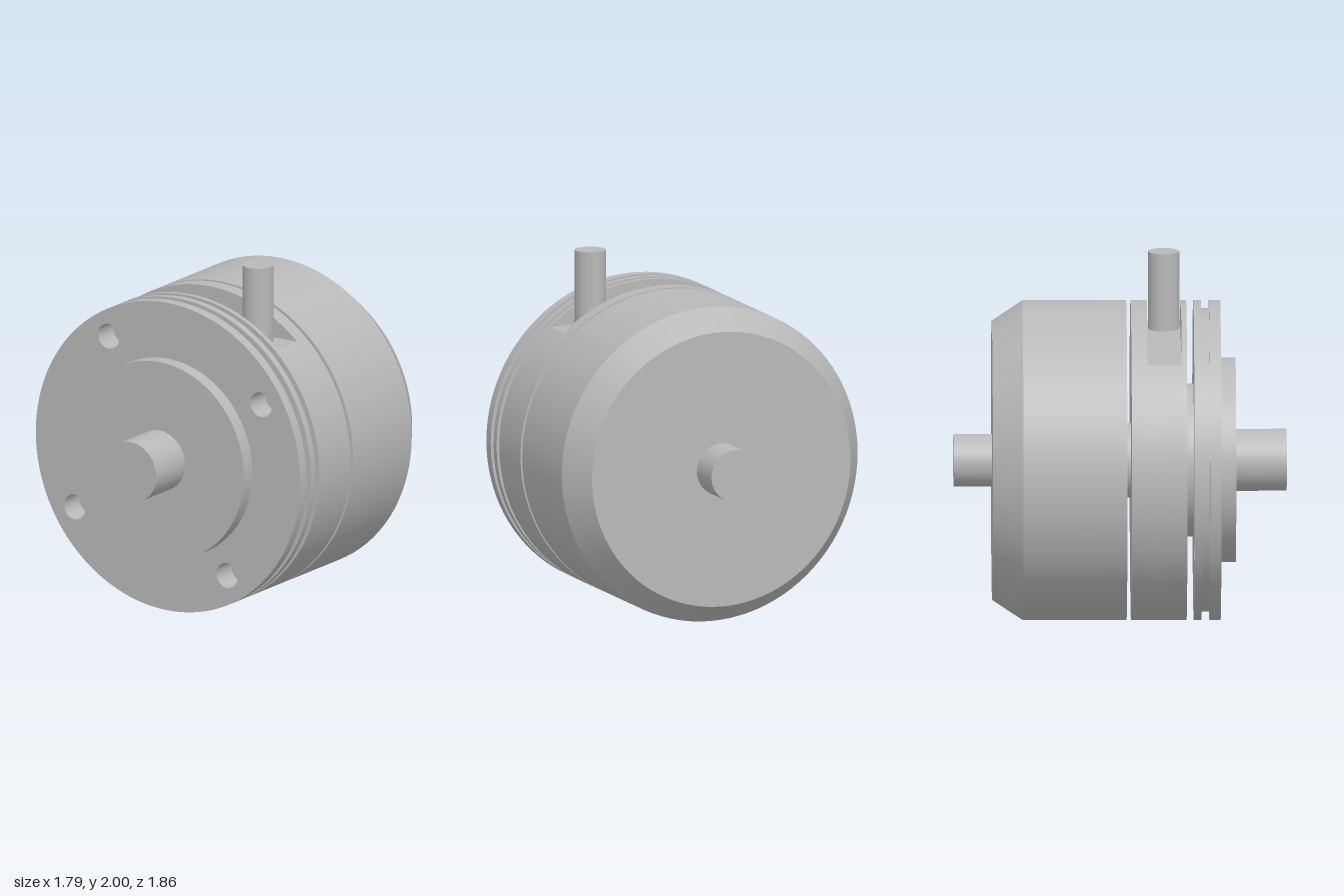
import * as THREE from 'three';
import { toCreasedNormals } from 'three/addons/utils/BufferGeometryUtils.js';

const R = 0.893; // main radius, also the height of the axis
const HOLE_R = 0.072;
const HOLES = [[-0.4, 0.635], [0.63, 0.405], [-0.63, -0.395], [0.4, -0.625]];

export function createModel() {
  const model = new THREE.Group();
  const metal = new THREE.MeshStandardMaterial({ color: 0xb8b8b8 });
  metal.name = 'grey metal';

  // everything round the main axis lives in this group
  const axis = new THREE.Group();
  axis.name = 'axisParts';
  axis.position.y = R;
  model.add(axis);

  function add(name, geometry, parent = axis) {
    const mesh = new THREE.Mesh(geometry, metal);
    mesh.name = name;
    parent.add(mesh);
    return mesh;
  }

  // solid round part between two z positions
  function disc(name, z0, z1, rBack, rFront = rBack) {
    const g = new THREE.CylinderGeometry(rFront, rBack, z1 - z0, 96);
    g.rotateX(Math.PI / 2).translate(0, 0, (z0 + z1) / 2);
    return add(name, g);
  }

  // outline extruded between two z positions
  function slab(name, shape, z0, z1) {
    const g = new THREE.ExtrudeGeometry(shape, { depth: z1 - z0, bevelEnabled: false, curveSegments: 72 });
    g.translate(0, 0, z0);
    return add(name, toCreasedNormals(g, 0.6));
  }

  // round outline with the four bolt holes
  function drilledCircle(radius) {
    const shape = new THREE.Shape().absarc(0, 0, radius, 0, Math.PI * 2, false);
    for (const [x, y] of HOLES) {
      shape.holes.push(new THREE.Path().absarc(x, y, HOLE_R, 0, Math.PI * 2, true));
    }
    return shape;
  }

  // front shaft and boss
  disc('frontShaft', 0.645, 0.93, 0.173);
  disc('frontBoss', 0.56, 0.645, 0.57);

  // grooved mounting flange
  slab('flangeFront', drilledCircle(R), 0.497, 0.56);
  slab('flangeGroove', drilledCircle(0.847), 0.453, 0.497);
  slab('flangeBack', drilledCircle(R), 0.41, 0.453);
  disc('frontNeck', 0.37, 0.41, 0.427);

  // middle ring with a flat pocket cut across its top
  slab('ringFrontWall', drilledCircle(R), 0.34, 0.37);
  const cut = Math.asin((1.56 - R) / R);
  const flatTopped = new THREE.Shape().absarc(0, 0, R, Math.PI - cut, Math.PI * 2 + cut, false);
  flatTopped.closePath();
  slab('ringPocketSection', flatTopped, 0.15, 0.34);
  disc('ringBackWall', 0.06, 0.15, R);

  // conical bottoms of the bolt holes, facing forward
  for (const [x, y] of HOLES) {
    const profile = [new THREE.Vector2(HOLE_R, 0.028), new THREE.Vector2(0, 0)];
    const g = new THREE.LatheGeometry(profile, 32);
    g.rotateX(Math.PI / 2).translate(x, y, 0.342);
    add('holeBottom', g);
  }

  // rear housing with chamfered end, joined by a short neck
  disc('rearNeck', 0.035, 0.06, 0.21);
  disc('housing', -0.545, 0.035, R);
  disc('housingChamfer', -0.715, -0.545, 0.78, R);
  disc('rearShaft', -0.93, -0.715, 0.147);

  // upright pin standing in the pocket
  const pin = add('pin', new THREE.CylinderGeometry(0.087, 0.087, 0.44, 48), model);
  pin.position.set(0.395, 1.78, 0.247);

  return model;
}
